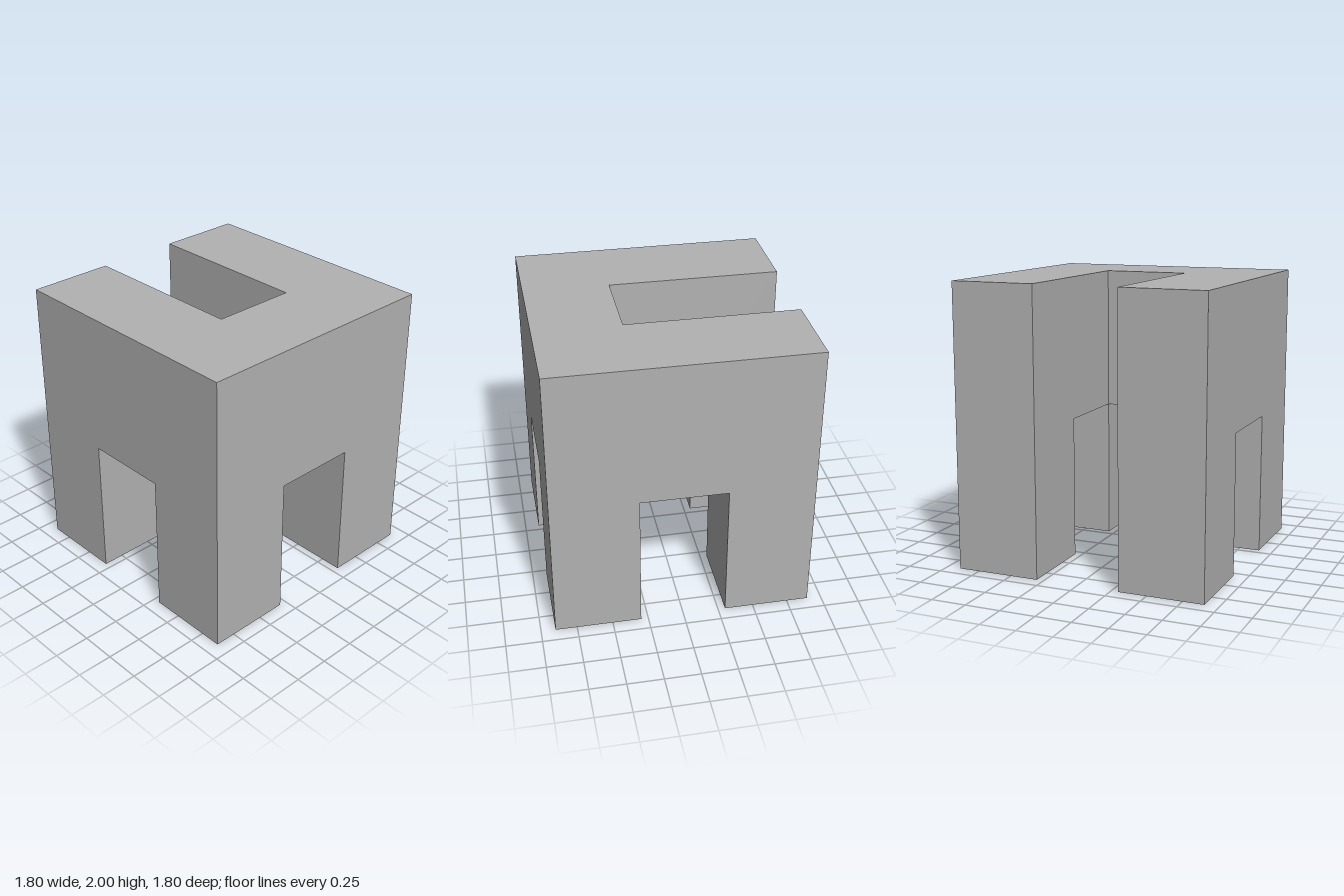
import * as THREE from 'three';

const HALF = 0.9;   // half width of the block
const GAP = 0.3;    // half width of every opening
const ARCH = 1;     // height of the leg openings
const TOP = 2;

export function createModel() {
  const model = new THREE.Group();
  model.name = 'slottedBlock';
  const grey = new THREE.MeshStandardMaterial({ color: 0xb2b2b2 });
  grey.name = 'grey';

  // Wall with two legs and a square doorway between them
  const outline = new THREE.Shape([
    [-HALF, 0], [-GAP, 0], [-GAP, ARCH], [GAP, ARCH],
    [GAP, 0], [HALF, 0], [HALF, TOP], [-HALF, TOP],
  ].map(([x, y]) => new THREE.Vector2(x, y)));
  const wall = new THREE.ExtrudeGeometry(outline, { depth: HALF - GAP, bevelEnabled: false });

  for (const [name, z] of [['frontWall', GAP], ['backWall', -HALF]]) {
    const mesh = new THREE.Mesh(wall, grey);
    mesh.name = name;
    mesh.position.z = z;
    model.add(mesh);
  }

  // Raised bridge joining the walls on the left; the right side stays open
  const bridge = new THREE.Mesh(new THREE.BoxGeometry(HALF - GAP, TOP - ARCH, 2 * GAP), grey);
  bridge.name = 'leftBridge';
  bridge.position.set((HALF + GAP) / 2, (TOP + ARCH) / 2, 0);
  model.add(bridge);

  return model;
}
